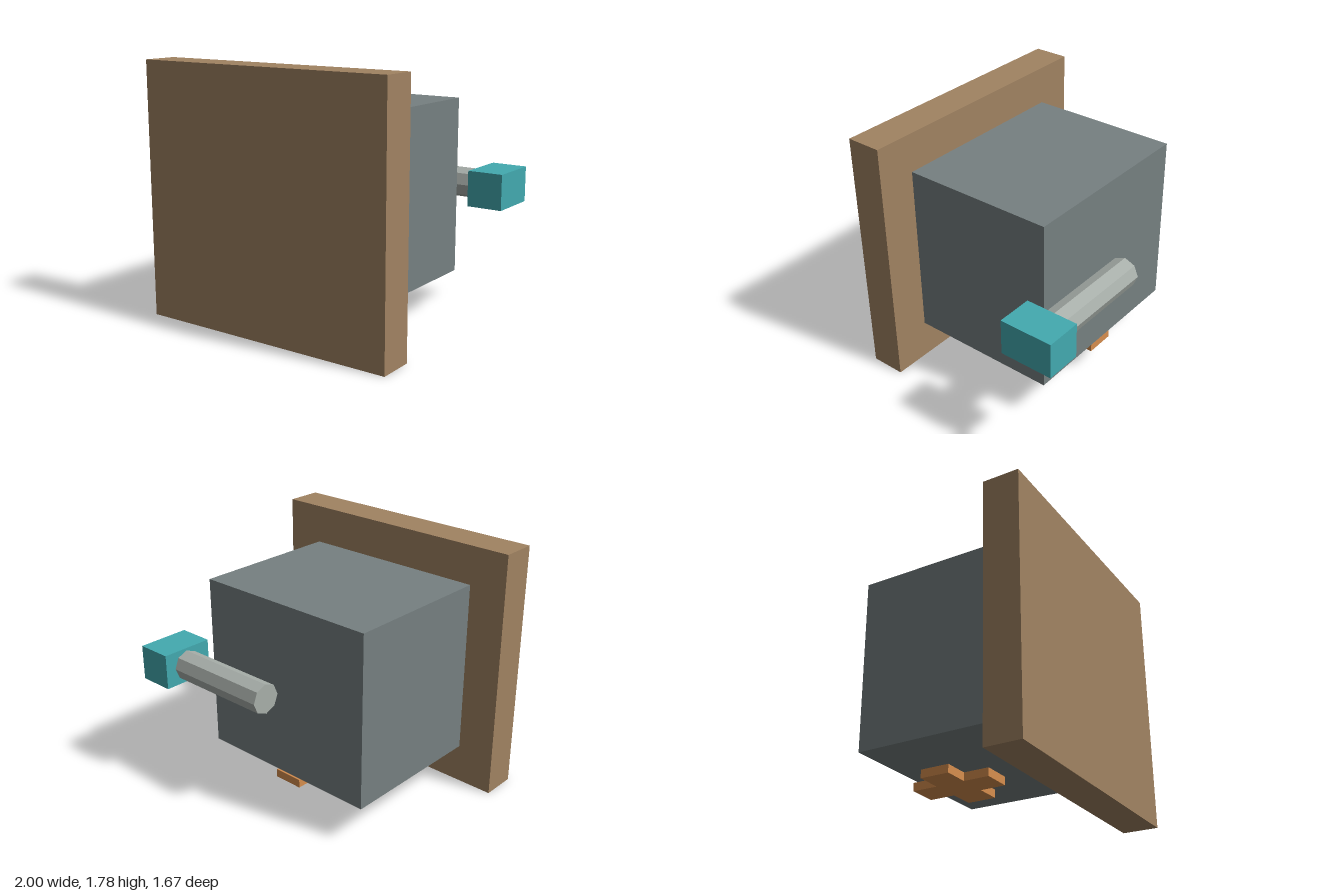
import * as THREE from 'three';

const material = (color) => new THREE.MeshStandardMaterial({ color, flatShading: true });

// Box given by its min and max corners
function box(name, color, min, max) {
  const size = max.map((v, i) => v - min[i]);
  const mesh = new THREE.Mesh(new THREE.BoxGeometry(...size), material(color));
  mesh.name = name;
  mesh.position.set(...min.map((v, i) => (v + max[i]) / 2));
  return mesh;
}

export function createModel() {
  const model = new THREE.Group();
  model.name = 'model';

  // Front panel, block behind it, and the handle grip
  model.add(
    box('frontPanel', 0xa18362, [-1, 0, 0.585], [0.91, 1.785, 0.837]),
    box('body', 0x768081, [-0.727, 0.28, -0.502], [0.636, 1.513, 0.585]),
    box('handleGrip', 0x43aab0, [0.745, 0.77, -0.837], [1, 1.02, -0.46]),
  );

  // Eight-sided handle rod along x, with an edge on top
  const rod = new THREE.Mesh(new THREE.CylinderGeometry(0.107, 0.107, 0.78, 8), material(0xa8afaa));
  rod.name = 'handleRod';
  rod.rotation.z = Math.PI / 2;
  rod.position.set(0.355, 0.895, -0.654);
  model.add(rod);

  // Flat cross under the body
  const a = 0.107, r = 0.296;
  const outline = [];
  for (let i = 0; i < 4; i++) {
    const turn = (i * Math.PI) / 2;
    for (const [x, y] of [[r, -a], [r, a], [a, a]]) {
      outline.push(new THREE.Vector2(x, y).rotateAround(new THREE.Vector2(), turn));
    }
  }
  const crossGeometry = new THREE.ExtrudeGeometry(new THREE.Shape(outline), { depth: 0.06, bevelEnabled: false });
  crossGeometry.rotateX(-Math.PI / 2);
  const cross = new THREE.Mesh(crossGeometry, material(0xd68e4e));
  cross.name = 'cross';
  cross.position.set(-0.045, 0.185, -0.18);
  model.add(cross);

  return model;
}
